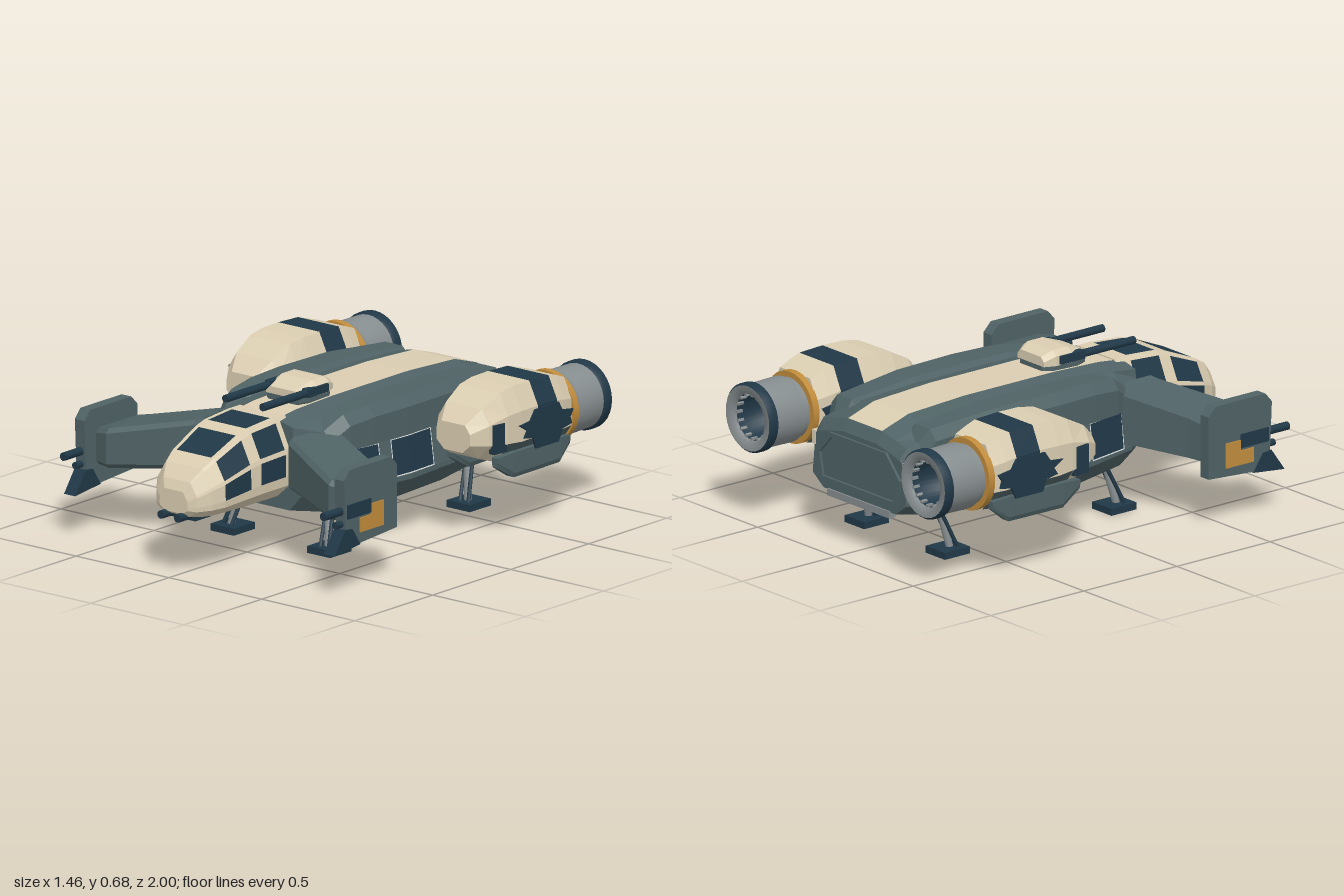
import * as THREE from 'three';

const V = (x, y, z) => new THREE.Vector3(x, y, z);
const mat = (name, color, side = THREE.FrontSide) => {
  const m = new THREE.MeshStandardMaterial({ color, side });
  m.name = name;
  return m;
};

// Skin through rings of points (counter-clockwise seen from the last ring); pick(i, j) chooses a material per panel
function loft(name, rings, mats, pick = () => 0) {
  const pos = [], geo = new THREE.BufferGeometry(), n = rings[0].length;
  const tri = (k, ...ps) => {
    geo.addGroup(pos.length / 3, 3, k);
    ps.forEach(p => pos.push(p.x, p.y, p.z));
  };
  for (let i = 0; i < rings.length - 1; i++) for (let j = 0; j < n; j++) {
    const a = rings[i][j], b = rings[i][(j + 1) % n], c = rings[i + 1][(j + 1) % n], d = rings[i + 1][j];
    const k = pick(i, j);
    tri(k, a, b, c);
    tri(k, a, c, d);
  }
  [rings[0], rings[rings.length - 1]].forEach((r, e) => {
    const c = r.reduce((s, p) => s.add(p), V(0, 0, 0)).divideScalar(n);
    for (let j = 0; j < n; j++) {
      const p = r[j], q = r[(j + 1) % n];
      e ? tri(0, c, p, q) : tri(0, c, q, p);
    }
  });
  geo.setAttribute('position', new THREE.Float32BufferAttribute(pos, 3));
  geo.computeVertexNormals();
  const mesh = new THREE.Mesh(geo, mats);
  mesh.name = name;
  return mesh;
}

// Symmetric ring at z from right-hand half points, listed bottom to top
const ring = (z, half, cx = 0) => [
  ...half.map(([x, y]) => V(cx + x, y, z)),
  ...[...half].reverse().map(([x, y]) => V(cx - x, y, z))];

// Interpolate a table of rows keyed by their first number
function lookup(rows, z) {
  let i = 0;
  while (i < rows.length - 2 && z > rows[i + 1][0]) i++;
  const a = rows[i], b = rows[i + 1], t = (z - a[0]) / (b[0] - a[0]);
  return a.map((v, k) => v + (b[k] - v) * t);
}

export function createModel() {
  const hullC = mat('slate hull', 0x4f6265), navy = mat('dark navy', 0x203847, THREE.DoubleSide);
  const cream = mat('cream', 0xdacdb1), orange = mat('amber', 0xc18c3c);
  const steel = mat('steel', 0x868d8f, THREE.DoubleSide), pale = mat('pale trim', 0xdfe3e2);
  const root = new THREE.Group();
  const add = (parent, name, geo, m, x = 0, y = 0, z = 0) => {
    const mesh = new THREE.Mesh(geo, m);
    mesh.name = name;
    mesh.position.set(x, y, z);
    parent.add(mesh);
    return mesh;
  };
  const box = (p, name, m, w, h, d, x, y, z) => add(p, name, new THREE.BoxGeometry(w, h, d), m, x, y, z);
  const rod = (p, name, m, a, b, r, seg = 10) => {
    const dir = b.clone().sub(a);
    const mesh = add(p, name, new THREE.CylinderGeometry(r, r, dir.length(), seg), m);
    mesh.position.copy(a).add(b).multiplyScalar(0.5);
    mesh.quaternion.setFromUnitVectors(V(0, 1, 0), dir.normalize());
  };
  // Flat plate drawn in (z, y), its outer face at x
  const plate = (p, name, m, pts, depth, x) => {
    const s = new THREE.Shape(pts.map(([a, b]) => new THREE.Vector2(a, b)));
    const g = new THREE.ExtrudeGeometry(s, { depth, bevelEnabled: false }).rotateY(-Math.PI / 2);
    add(p, name, g, m, x);
  };

  // Hull with top stripe and framed side windows: z, half width, bottom, top
  const keys = [[-0.87, 0.3, 0.215, 0.49], [-0.84, 0.315, 0.21, 0.54], [-0.7, 0.345, 0.19, 0.585],
    [-0.4, 0.375, 0.165, 0.6], [-0.1, 0.387, 0.16, 0.6], [0.1, 0.37, 0.165, 0.6], [0.32, 0.325, 0.18, 0.592], [0.445, 0.24, 0.2, 0.578]];
  const zs = [-0.87, -0.84, -0.7, -0.4, -0.25, -0.245, -0.1, 0, 0.005, 0.073, 0.078, 0.27, 0.275, 0.32, 0.445];
  const hullRings = zs.map(z => {
    const [, w, yb, yt] = lookup(keys, z);
    return ring(z, [[0.77 * w, yb], [w, Math.min(yb + 0.095, 0.265)], [w, 0.28], [0.997 * w, 0.285], [0.945 * w, 0.435],
      [0.943 * w, 0.44], [0.85 * w, Math.min(0.52, yt - 0.035)], [0.2, yt - 0.02], [0.11, yt]]);
  });
  root.add(loft('hull', hullRings, [hullC, cream, navy, pale], (i, j) => {
    if (j === 8) return i > 0 ? 1 : 0;
    const side = Math.min(j, 16 - j);
    const glass = i === 5 || i === 6 || i === 10;
    const frame = (i >= 4 && i <= 7) || (i >= 9 && i <= 11);
    if (side === 3 && glass) return 2;
    return side >= 2 && side <= 4 && frame ? 3 : 0;
  }));

  // Rear door with raised frame
  const doorShape = new THREE.Shape([[-0.25, 0.25], [0.25, 0.25], [0.27, 0.37], [0.18, 0.47], [-0.18, 0.47], [-0.27, 0.37]]
    .map(([x, y]) => new THREE.Vector2(x, y)));
  doorShape.holes.push(new THREE.Path([[-0.225, 0.27], [-0.245, 0.37], [-0.17, 0.45], [0.17, 0.45], [0.245, 0.37], [0.225, 0.27]]
    .map(([x, y]) => new THREE.Vector2(x, y))));
  add(root, 'rearDoorFrame', new THREE.ExtrudeGeometry(doorShape, { depth: 0.02, bevelEnabled: false }), hullC, 0, 0, -0.882);
  box(root, 'rearSill', steel, 0.4, 0.03, 0.035, 0, 0.205, -0.86);

  // Cockpit shell with glazing: z, half width, bottom, top
  const cz = [[0.4, 0.19, 0.25, 0.588], [0.475, 0.19, 0.25, 0.588], [0.628, 0.187, 0.25, 0.577], [0.69, 0.184, 0.25, 0.56],
    [0.84, 0.172, 0.252, 0.497], [0.9, 0.15, 0.255, 0.462], [0.95, 0.11, 0.262, 0.41], [0.97, 0.075, 0.275, 0.37]];
  const cockpitRings = cz.map(([z, w, b, t]) => ring(z, [[0.62, 0], [0.98, 0.18], [1, 0.3], [0.99, 0.58], [0.96, 0.64],
    [0.7, 0.95], [0.64, 1], [0.54, 1]].map(([x, y]) => [x * w, b + (t - b) * y])));
  root.add(loft('cockpit', cockpitRings, [cream, navy],
    (i, j) => ((i === 1 || i === 3) && [2, 4, 7, 10, 12].includes(j) ? 1 : 0)));

  // Chin guns
  box(root, 'chinMount', navy, 0.15, 0.025, 0.1, 0, 0.25, 0.87);
  for (const x of [-0.045, 0.045]) rod(root, 'chinGun', navy, V(x, 0.262, 0.84), V(x, 0.262, 1), 0.018);

  // Roof turret
  const turret = new THREE.Group();
  turret.name = 'turret';
  root.add(turret);
  turret.add(loft('turretBase', [[0.05, 0.07], [0.09, 0.1], [0.22, 0.105], [0.27, 0.085]]
    .map(([z, w]) => ring(z, [[w * 0.8, 0.585], [w, 0.6], [w, 0.63]])), [hullC]));
  turret.add(loft('turretHood', [[0.05, 0.085, 0.66], [0.1, 0.106, 0.682], [0.18, 0.106, 0.682], [0.272, 0.088, 0.65]]
    .map(([z, w, t]) => ring(z, [[w, 0.62], [w, t - 0.02], [w * 0.75, t]])), [cream]));
  for (const x of [-0.1, 0.1]) {
    box(turret, 'gunBreech', navy, 0.035, 0.035, 0.13, x, 0.643, 0.18);
    rod(turret, 'turretGun', navy, V(x, 0.643, 0.2), V(x, 0.643, 0.52), 0.017);
  }

  // Everything paired left and right
  for (const s of [1, -1]) {
    const half = new THREE.Group();
    half.name = s > 0 ? 'leftSide' : 'rightSide';
    half.scale.x = s;
    root.add(half);

    // Shoulder fairing: z, outer x, top
    half.add(loft('shoulderFairing', [[-0.79, 0.3, 0.5], [-0.74, 0.335, 0.575], [-0.4, 0.36, 0.602], [-0.1, 0.367, 0.604],
      [0.1, 0.355, 0.602], [0.24, 0.338, 0.588], [0.325, 0.305, 0.53]].map(([z, x, t]) => [[x, 0.44], [x, t - 0.045],
      [x - 0.038, t], [0.205, t], [0.185, t - 0.02], [0.185, 0.44]].map(([a, b]) => V(a, b, z))), [hullC]));
    box(half, 'rearCorner', cream, 0.025, 0.06, 0.03, 0.291, 0.42, -0.858);

    // Forward-swept wing: x, back, front, top, bottom
    half.add(loft('wing', [[0.237, 0.25, 0.515, 0.53, 0.31], [0.27, 0.25, 0.53, 0.52, 0.308], [0.6, 0.39, 0.69, 0.458, 0.287],
      [0.69, 0.41, 0.66, 0.44, 0.285]].map(([x, b, f, t, u]) => [[b, u], [b, t], [f - 0.02, t], [f, t - 0.02], [f, u + 0.02], [f - 0.02, u]]
      .map(([z, y]) => V(x, y, z))), [hullC]));

    // Wingtip fin, its markings and gun
    plate(half, 'wingtipFin', hullC, [[0.4, 0.22], [0.62, 0.205], [0.8, 0.185], [0.73, 0.28], [0.74, 0.49], [0.705, 0.53], [0.44, 0.53], [0.4, 0.49]], 0.052, 0.725);
    plate(half, 'finTip', navy, [[0.64, 0.2], [0.805, 0.182], [0.735, 0.28], [0.69, 0.275]], 0.06, 0.729);
    plate(half, 'finMarking', orange, [[0.49, 0.25], [0.64, 0.25], [0.64, 0.312], [0.57, 0.312], [0.57, 0.358], [0.49, 0.358]], 0.006, 0.73);
    box(half, 'gunHousing', navy, 0.05, 0.06, 0.15, 0.706, 0.352, 0.645);
    rod(half, 'wingGun', navy, V(0.7, 0.355, 0.6), V(0.7, 0.355, 0.845), 0.018);
    rod(half, 'wingGunLower', navy, V(0.7, 0.3, 0.6), V(0.7, 0.3, 0.77), 0.015);

    // Engine nacelle with painted band: z, half width, bottom, top
    const nz = [[-0.745, 0.138, 0.315, 0.6], [-0.68, 0.152, 0.31, 0.62], [-0.63, 0.157, 0.31, 0.635], [-0.505, 0.158, 0.31, 0.64],
      [-0.4, 0.158, 0.31, 0.638], [-0.32, 0.154, 0.325, 0.625], [-0.22, 0.137, 0.36, 0.575], [-0.15, 0.09, 0.395, 0.515]];
    half.add(loft('nacelle', nz.map(([z, w, b, t]) => ring(z, [[0.55, 0], [1, 0.3], [1, 0.7], [0.7, 1]]
      .map(([x, y]) => [x * w, b + (t - b) * y]), 0.565)), [cream, navy, hullC], (i, j) => {
      if (i === 2) return 1;
      return (j === 0 || j > 5) && i < 5 ? 2 : 0;
    }));
    // Ragged paint patches spreading from the band on both flanks
    const patch = [[-0.38, 0.48], [-0.45, 0.487], [-0.48, 0.53], [-0.635, 0.53], [-0.66, 0.49], [-0.73, 0.48], [-0.71, 0.45],
      [-0.72, 0.42], [-0.66, 0.41], [-0.635, 0.36], [-0.49, 0.36], [-0.47, 0.41], [-0.41, 0.42], [-0.43, 0.45]];
    plate(half, 'paintPatchOuter', navy, patch, 0.008, 0.727);
    plate(half, 'paintPatchInner', navy, patch, 0.008, 0.411);
    box(half, 'nacelleVent', navy, 0.03, 0.125, 0.08, 0.701, 0.448, -0.275);

    // Skirts along both lower edges of the nacelle: z, half width, bottom, top
    for (const x of [0.443, 0.687]) {
      half.add(loft('nacelleSkirt', [[-0.74, 0.015, 0.325, 0.36], [-0.66, 0.03, 0.262, 0.37], [-0.37, 0.03, 0.26, 0.37], [-0.27, 0.015, 0.32, 0.36]]
        .map(([z, w, b, t]) => ring(z, [[0.7 * w, b], [w, b + 0.02], [w, t]], x)), [hullC]));
    }

    // Pylon
    box(half, 'pylon', hullC, 0.1, 0.14, 0.36, 0.375, 0.42, -0.48);
    box(half, 'pylonClamp', navy, 0.1, 0.16, 0.17, 0.38, 0.43, -0.455);

    // Engine nozzle, turned about the nacelle axis: radius, z
    const turned = (name, m, pts) => {
      const g = new THREE.LatheGeometry(pts.map(([r, z]) => new THREE.Vector2(r, -z)), 32).rotateX(-Math.PI / 2);
      add(half, name, g, m, 0.565, 0.456, 0);
    };
    const tube = (name, m, r, z0, z1) => add(half, name,
      new THREE.CylinderGeometry(r, r, z0 - z1, 32).rotateX(Math.PI / 2), m, 0.565, 0.456, (z0 + z1) / 2);
    tube('amberRing', orange, 0.155, -0.742, -0.773);
    tube('nozzleNeck', steel, 0.13, -0.765, -0.81);
    turned('nozzleBody', steel, [[0.125, -0.8], [0.141, -0.805], [0.138, -0.96]]);
    turned('nozzleRing', navy, [[0.139, -0.95], [0.148, -0.957], [0.148, -0.992], [0.14, -1]]);
    turned('nozzleLip', steel, [[0.14, -1], [0.105, -0.995], [0.1, -0.975]]);
    turned('nozzleThroat', navy, [[0.1, -0.975], [0.09, -0.83], [0.0001, -0.82]]);
    for (let k = 0; k < 16; k++) {
      const a = k * Math.PI / 8;
      box(half, 'nozzleVane', steel, 0.012, 0.012, 0.03, 0.565 + 0.095 * Math.cos(a), 0.456 + 0.095 * Math.sin(a), -0.965).rotation.z = a;
    }

    // Landing legs: top z, foot z
    for (const [zt, zf] of [[0.25, 0.29], [-0.64, -0.605]]) {
      rod(half, 'legStrut', steel, V(0.23, 0.21, zt), V(0.262, 0.025, zf), 0.016);
      rod(half, 'legBrace', navy, V(0.25, 0.2, zt - 0.01), V(0.285, 0.025, zf + 0.025), 0.009, 6);
      rod(half, 'legBrace', navy, V(0.215, 0.2, zt - 0.01), V(0.24, 0.025, zf + 0.025), 0.009, 6);
      box(half, 'footPad', navy, 0.125, 0.03, 0.135, 0.26, 0.015, zf - 0.008);
    }
  }
  return root;
}
